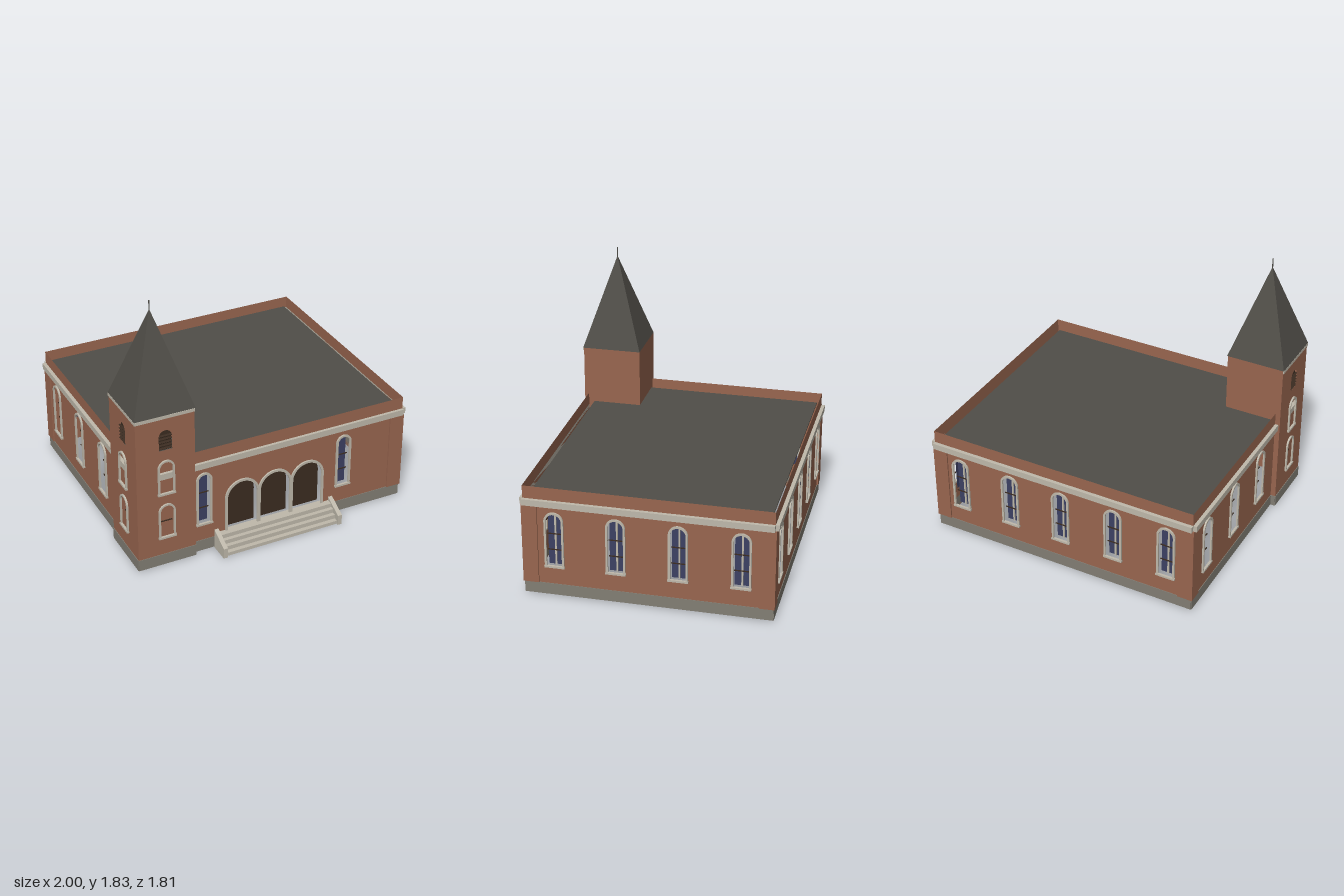
import * as THREE from 'three';

const mat = (name, color, side = THREE.FrontSide) => {
  const m = new THREE.MeshStandardMaterial({ color, side });
  m.name = name;
  return m;
};

export function createModel() {
  const D = THREE.DoubleSide;
  const brick = mat('brick', 0x99664f, D);
  const stone = mat('pale stone', 0xbfb9ab);
  const plinth = mat('grey plinth', 0x827e74);
  const slate = mat('dark slate', 0x504e48, D);
  const glass = mat('blue glass', 0x3c4163, D);
  const dark = mat('dark timber', 0x3b2c21, D);

  const model = new THREE.Group();
  model.name = 'church';

  const add = (parent, name, geo, material, x = 0, y = 0, z = 0) => {
    const m = new THREE.Mesh(geo, material);
    m.name = name;
    m.position.set(x, y, z);
    parent.add(m);
    return m;
  };
  // box given by its limits
  const box = (parent, name, material, x0, x1, y0, y1, z0, z1) =>
    add(parent, name, new THREE.BoxGeometry(x1 - x0, y1 - y0, z1 - z0), material,
      (x0 + x1) / 2, (y0 + y1) / 2, (z0 + z1) / 2);
  const polygon = pts => new THREE.Shape(pts.map(p => new THREE.Vector2(...p)));
  // round-headed outline
  const arch = (x, hw, y0, y1, T = THREE.Shape) => {
    const s = new T();
    s.moveTo(x - hw, y0);
    s.lineTo(x + hw, y0);
    s.absarc(x, y1 - hw, hw, 0, Math.PI, false);
    s.lineTo(x - hw, y0);
    return s;
  };
  // stone surround: arch band open at the bottom
  const surround = (x, hw, y0, y1, t) => {
    const s = new THREE.Shape();
    s.moveTo(x + hw - t, y0);
    s.lineTo(x + hw, y0);
    s.absarc(x, y1 - hw, hw, 0, Math.PI, false);
    s.lineTo(x - hw, y0);
    s.lineTo(x - hw + t, y0);
    s.absarc(x, y1 - hw, hw - t, Math.PI, 0, true);
    return new THREE.ExtrudeGeometry(s, { depth: 0.012, bevelEnabled: false, curveSegments: 16 });
  };

  // A facade is built facing +z, then turned into place
  const side = (name, angle, x, z) => {
    const g = new THREE.Group();
    g.name = name;
    g.rotation.y = angle;
    g.position.set(x, 0, z);
    model.add(g);
    return g;
  };
  const facade = (g, x0, x1, top, openings) => {
    const wall = polygon([[x0, 0.01], [x1, 0.01], [x1, top], [x0, top]]);
    for (const o of openings) {
      const { x, hw, y0, y1, t = 0.014, pane = glass, bars = [], sill, mullion, slats } = o;
      wall.holes.push(arch(x, hw - t, y0, y1 - t, THREE.Path));
      add(g, 'pane', new THREE.ShapeGeometry(arch(x, hw - t, y0, y1 - t), 16), pane, 0, 0, slats ? -0.012 : -0.042);
      if (t > 0) add(g, 'surround', surround(x, hw, y0, y1, t), stone);
      if (sill) box(g, 'sill', stone, x - hw - 0.003, x + hw + 0.003, y0 - 0.004, y0 + 0.01, 0, 0.016);
      if (mullion) box(g, 'mullion', stone, x - 0.006, x + 0.006, y0, y1 - 0.03, -0.04, -0.032);
      for (const y of bars) box(g, 'glazingBar', dark, x - hw + t, x + hw - t, y - 0.003, y + 0.003, -0.024, -0.018);
      for (let i = 0; slats && i < 5; i++) {
        const s = box(g, 'slat', dark, x - hw, x + hw, y0 + 0.01 + i * 0.023, y0 + 0.014 + i * 0.023, -0.01, 0.004);
        s.rotation.x = 0.5;
      }
    }
    add(g, 'wall', new THREE.ShapeGeometry(wall, 16), brick);
  };
  const plinthStrip = (g, x0, x1) => box(g, 'plinth', plinth, x0, x1, 0.01, 0.09, 0, 0.004);
  const cornice = (g, x0, x1, d) => box(g, 'cornice', stone, x0, x1, 0.65, 0.693, 0, d);
  const pilaster = (g, x0, x1) => box(g, 'pilaster', brick, x0, x1, 0.09, 0.65, 0, 0.01);
  const win = (x, hw, mullion) =>
    ({ x, hw, y0: 0.215, y1: 0.61, sill: true, bars: [0.33, 0.445], mullion });

  // Main hall
  const X0 = -0.955, X1 = 0.97, Z0 = -0.88, Z1 = 0.765, Q = Math.PI / 2;
  const front = side('frontWall', 0, 0, Z1);
  facade(front, X0, X1, 0.78, [
    win(-0.51, 0.056, false), win(0.52, 0.056, false),
    ...[-0.235, 0.006, 0.247].map(x => ({ x, hw: 0.124, y0: 0.115, y1: 0.485, t: 0.016, pane: dark })),
  ]);
  plinthStrip(front, -0.585, X1);
  cornice(front, X0, X1, 0.02);
  pilaster(front, 0.875, 0.98);

  const right = side('rightWall', Q, X1, 0);
  facade(right, -Z1, -Z0, 0.78, [0.56, 0.15, -0.26, -0.67].map(z => win(-z, 0.065, true)));
  plinthStrip(right, -Z1, -Z0);
  cornice(right, -Z1, -Z0, 0.025);
  pilaster(right, -0.775, -0.67);
  pilaster(right, 0.79, 0.89);

  const back = side('backWall', Math.PI, 0, Z0);
  facade(back, -X1, -X0, 0.78, [-0.77, -0.385, 0.005, 0.39, 0.775].map(x => win(-x, 0.065, true)));
  plinthStrip(back, -X1, -X0);
  cornice(back, -X1, -X0, 0.025);
  pilaster(back, -0.98, -0.875);
  pilaster(back, 0.86, 0.965);

  const left = side('leftWall', -Q, X0, 0);
  facade(left, Z0, Z1, 0.78, [0.15, -0.26, -0.67].map(z => win(z, 0.065, true)));
  plinthStrip(left, Z0, 0.385);
  cornice(left, Z0, Z1, 0.025);
  pilaster(left, -0.89, -0.79);

  // Flat roof set behind the parapet
  box(model, 'flatRoof', slate, -0.925, 0.935, 0.71, 0.72, -0.85, 0.725);

  // Tower: two outer faces with openings, two inner faces rising from the hall
  const T0 = -0.99, T1 = -0.585, U0 = 0.385, U1 = 0.795;
  const towerOpenings = x => [
    { x, hw: 0.058, y0: 0.22, y1: 0.475, sill: true, bars: [0.33], t: 0.012 },
    { x, hw: 0.058, y0: 0.552, y1: 0.803, sill: true, t: 0.012 },
    { x, hw: 0.045, y0: 0.877, y1: 1.02, t: 0, pane: dark, slats: true },
  ];
  const towerFront = side('towerFront', 0, 0, U1);
  facade(towerFront, T0, T1, 1.13, towerOpenings(-0.787));
  plinthStrip(towerFront, T0, T1);
  box(towerFront, 'towerBand', stone, T0 - 0.004, T1, 1.108, 1.13, 0, 0.008);

  const towerLeft = side('towerLeft', -Q, T0, 0);
  facade(towerLeft, U0, U1, 1.13, towerOpenings(0.59));
  plinthStrip(towerLeft, U0, U1);
  box(towerLeft, 'towerBand', stone, U0, U1 + 0.004, 1.108, 1.13, 0, 0.006);

  const towerRight = side('towerRight', Q, T1, 0);
  add(towerRight, 'wall', new THREE.ShapeGeometry(polygon([
    [-U1, 0.01], [-Z1, 0.01], [-Z1, 0.65], [-U0, 0.65], [-U0, 1.13], [-U1, 1.13]])), brick);
  plinthStrip(towerRight, -U1, -Z1);
  const towerBack = side('towerBack', Math.PI, 0, U0);
  add(towerBack, 'wall', new THREE.ShapeGeometry(polygon([
    [-T0, 0.01], [-T0, 1.13], [-T1, 1.13], [-T1, 0.65], [-X0, 0.65], [-X0, 0.01]])), brick);
  plinthStrip(towerBack, -X0, -T0);

  // Spire and finial
  const cone = new THREE.ConeGeometry(0.208 * Math.SQRT2, 0.64, 4, 1).rotateY(Math.PI / 4).toNonIndexed();
  cone.computeVertexNormals();
  add(model, 'spire', cone, slate, -0.787, 1.45, 0.592);
  add(model, 'finial', new THREE.CylinderGeometry(0.004, 0.004, 0.08, 8), slate, -0.787, 1.79, 0.592);

  // Entrance steps between sloping cheek walls
  const steps = new THREE.Group();
  steps.name = 'entranceSteps';
  model.add(steps);
  [0.895, 0.865, 0.837, 0.81].forEach((z, i) =>
    box(steps, 'step', stone, -0.408, 0.42, i === 0 ? 0.005 : i * 0.029, (i + 1) * 0.029, 0.745, z));
  const cheek = polygon([[-0.905, 0], [-0.74, 0], [-0.74, 0.155], [-0.905, 0.073]]);
  for (const x of [-0.436, 0.418]) {
    const geo = new THREE.ExtrudeGeometry(cheek, { depth: 0.03, bevelEnabled: false }).rotateY(Q);
    add(steps, 'cheekWall', geo, stone, x, 0, 0);
  }
  return model;
}
